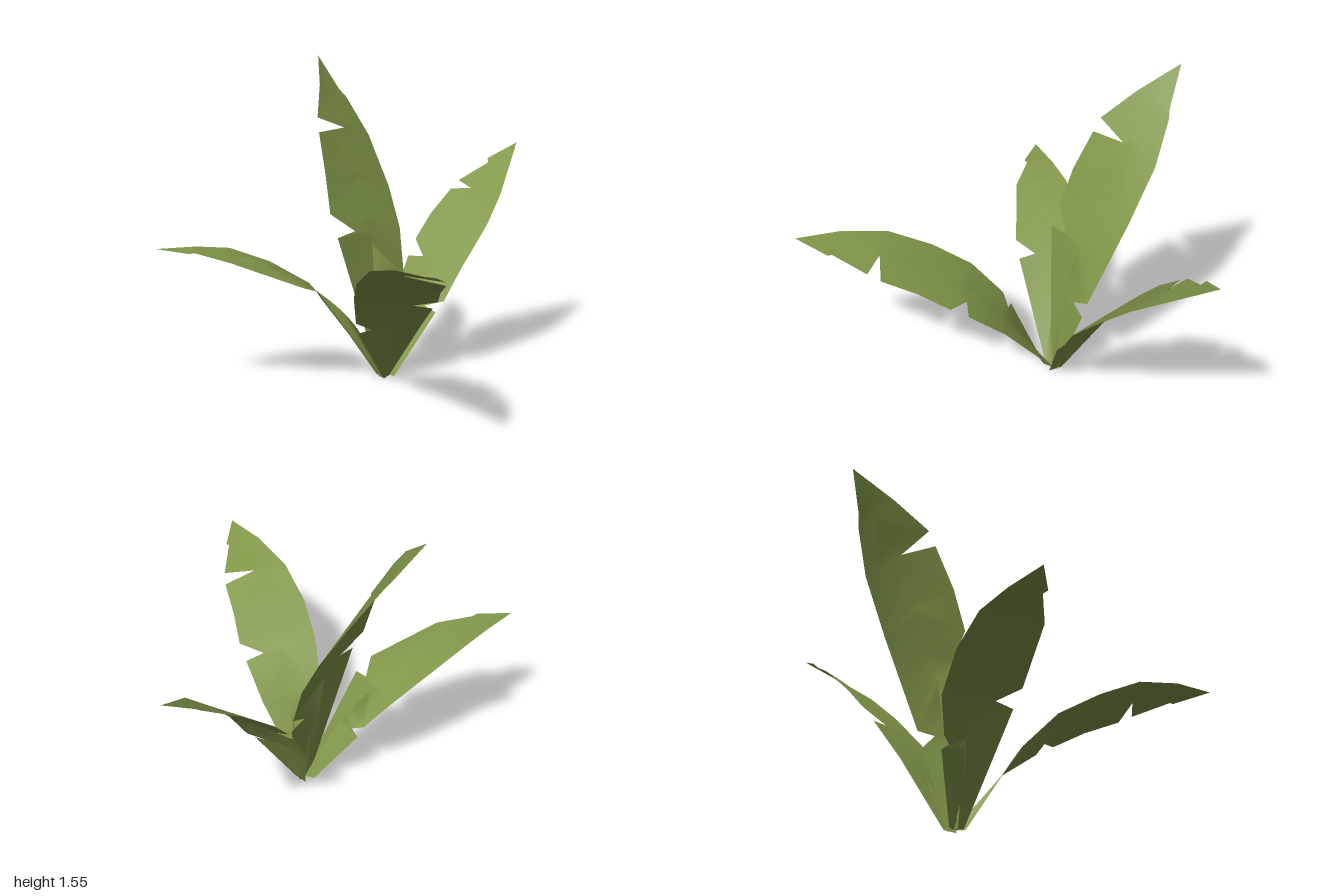
import * as THREE from 'three';

const vec = ([x, y, z]) => new THREE.Vector3(x, y, z);

// Each leaf: a midrib from root to tip, and two torn edges running root to tip.
// Left and right are as seen on the leaf's upper face with the tip pointing away.
const backLeaf = {
  rib: [[0, 0, -0.25], [0, 0.4, -0.29], [0, 0.75, -0.39], [0, 1, -0.5], [0, 1.2, -0.6], [0, 1.55, -0.86]],
  left: [[-0.03, 0, -0.25], [-0.21, 0.7, -0.33], [-0.1, 0.72, -0.35], [-0.22, 0.81, -0.38], [-0.21, 1, -0.44],
    [-0.19, 1.19, -0.53], [-0.01, 1.2, -0.59], [-0.18, 1.26, -0.56], [-0.09, 1.41, -0.69]],
  right: [[0.04, 0, -0.25], [0.16, 0.4, -0.31], [0.07, 0.43, -0.31], [0.17, 0.48, -0.33], [0.2, 0.7, -0.41],
    [0.2, 0.9, -0.51], [0.17, 1.15, -0.65], [0.1, 1.34, -0.75], [0.07, 1.38, -0.77]],
};
const leftLeaf = {
  rib: [[0.03, 0, -0.245], [0.19, 0.31, -0.28], [0.37, 0.56, -0.31], [0.59, 0.78, -0.35], [0.68, 0.86, -0.38], [0.99, 1.08, -0.45]],
  left: [[0.03, 0, -0.28], [0.17, 0.33, -0.42], [0.3, 0.53, -0.48], [0.33, 0.54, -0.39], [0.36, 0.61, -0.5], [0.47, 0.73, -0.52],
    [0.61, 0.85, -0.53], [0.66, 0.86, -0.42], [0.66, 0.89, -0.53], [0.82, 0.98, -0.48], [0.83, 1, -0.5]],
  right: [[0.03, 0, -0.21], [0.23, 0.31, -0.14], [0.22, 0.33, -0.22], [0.28, 0.36, -0.14], [0.38, 0.51, -0.135],
    [0.57, 0.71, -0.17], [0.7, 0.84, -0.23]],
};
const frontLeaf = {
  rib: [[0, 0, -0.23], [-0.1, 0.3, -0.03], [-0.2, 0.48, 0.14], [-0.29, 0.59, 0.31], [-0.39, 0.69, 0.5], [-0.54, 0.775, 0.86]],
  left: [[0.02, 0, -0.24], [0.02, 0.31, 0.03], [-0.03, 0.44, 0.2], [-0.12, 0.46, 0.17], [-0.06, 0.49, 0.28], [-0.14, 0.57, 0.41],
    [-0.22, 0.64, 0.56], [-0.38, 0.69, 0.49], [-0.26, 0.67, 0.61], [-0.4, 0.73, 0.73], [-0.4, 0.73, 0.75]],
  right: [[-0.03, 0, -0.21], [-0.23, 0.28, -0.12], [-0.18, 0.3, -0.08], [-0.26, 0.34, -0.09], [-0.35, 0.5, 0.04],
    [-0.44, 0.61, 0.21], [-0.5, 0.71, 0.41], [-0.53, 0.76, 0.64]],
};
const rightLeaf = {
  rib: [[0, 0, -0.25], [-0.15, 0.29, -0.32], [-0.36, 0.49, -0.41], [-0.58, 0.61, -0.48], [-0.8, 0.665, -0.57], [-1, 0.685, -0.645]],
  left: [[-0.03, 0, -0.22], [-0.36, 0.44, -0.23], [-0.34, 0.46, -0.31], [-0.44, 0.5, -0.25], [-0.74, 0.63, -0.4],
    [-0.86, 0.67, -0.52], [-0.89, 0.67, -0.52]],
  right: [[-0.02, 0, -0.29], [-0.15, 0.27, -0.44], [-0.15, 0.3, -0.4], [-0.18, 0.32, -0.45], [-0.26, 0.45, -0.53],
    [-0.44, 0.57, -0.6], [-0.63, 0.65, -0.64], [-0.8, 0.675, -0.645]],
};

// Places every edge point beside its nearest step along the midrib, never going backwards.
function stepsAlong(ribPoints, edge) {
  let last = 0;
  return edge.map((p, i) => {
    if (i === 0) return 0;
    if (i === edge.length - 1) return ribPoints.length - 1;
    let best = last;
    for (let k = last; k < ribPoints.length; k++) {
      if (p.distanceTo(ribPoints[k]) < p.distanceTo(ribPoints[best])) best = k;
    }
    return (last = best);
  });
}

// Fills the blade between the curved midrib and both edges.
function leafGeometry({ rib, left, right }) {
  const ribPoints = new THREE.CatmullRomCurve3(rib.map(vec)).getPoints(40);
  const points = [...ribPoints];
  const index = [];
  for (const [outline, flip] of [[left, true], [right, false]]) {
    const edge = [...outline, rib[rib.length - 1]].map(vec);
    const steps = stepsAlong(ribPoints, edge);
    const first = points.length;
    points.push(...edge);
    const tri = (a, b, c) => index.push(...(flip ? [a, c, b] : [a, b, c]));
    for (let i = 0; i < edge.length - 1; i++) {
      for (let k = steps[i]; k < steps[i + 1]; k++) tri(first + i, k + 1, k);
      tri(first + i, first + i + 1, steps[i + 1]);
    }
  }
  const geometry = new THREE.BufferGeometry().setFromPoints(points);
  geometry.setIndex(index);
  geometry.computeVertexNormals();
  return geometry;
}

export function createModel() {
  const group = new THREE.Group();
  group.name = 'leafyPlant';
  const leafGreen = new THREE.MeshStandardMaterial({ color: 0x819749, side: THREE.DoubleSide });
  leafGreen.name = 'leafGreen';
  for (const [name, leaf] of Object.entries({ backLeaf, leftLeaf, frontLeaf, rightLeaf })) {
    const mesh = new THREE.Mesh(leafGeometry(leaf), leafGreen);
    mesh.name = name;
    group.add(mesh);
  }
  return group;
}
